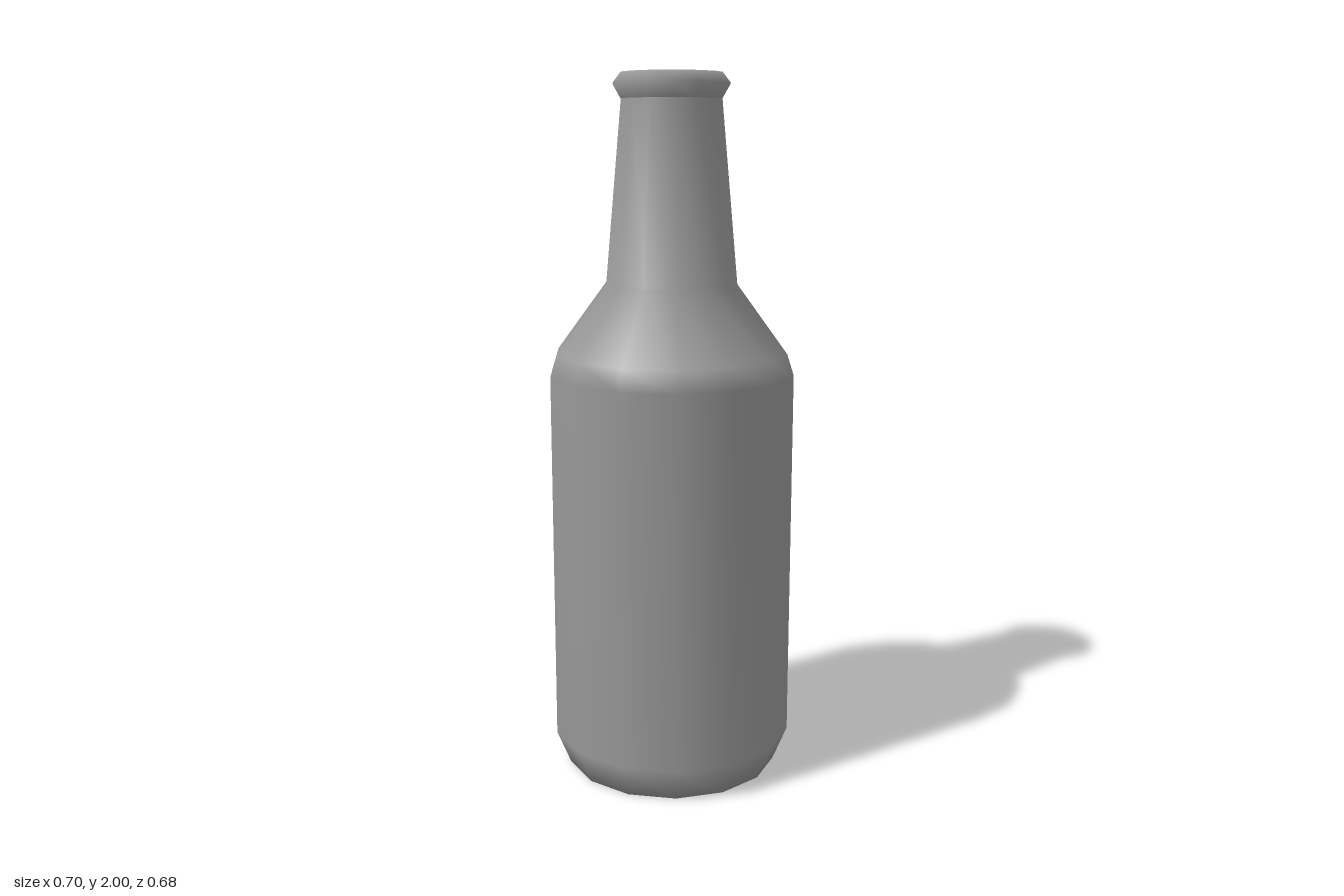
import * as THREE from 'three';
import { mergeVertices } from 'three/addons/utils/BufferGeometryUtils.js';

const SIDES = 14;

// Turns a [radius, height] profile into a 14-sided mesh with a corner on +x,
// welded so the smooth normals are weighted by face area
function turned(name, profile, material) {
  const points = profile.map(([r, y]) => new THREE.Vector2(r, y));
  const lathe = new THREE.LatheGeometry(points, SIDES, Math.PI / 2);
  lathe.deleteAttribute('normal');
  lathe.deleteAttribute('uv');
  const geometry = mergeVertices(lathe);
  geometry.computeVertexNormals();
  const mesh = new THREE.Mesh(geometry, material);
  mesh.name = name;
  return mesh;
}

export function createModel() {
  const group = new THREE.Group();
  group.name = 'bottle';
  const material = new THREE.MeshStandardMaterial({ color: 0x989898 });

  // Base, straight body, shoulder and tapering neck
  group.add(turned('body', [
    [0, 0], [0.31, 0], [0.351, 0.1], [0.351, 1.17], [0.332, 1.23], [0.188, 1.425], [0.142, 1.93],
  ], material));

  // Flared lip around the mouth
  group.add(turned('lip', [
    [0.142, 1.93], [0.165, 1.97], [0.142, 2], [0.108, 2],
  ], material));

  // Hollow inside the neck
  group.add(turned('mouth', [
    [0.108, 2], [0.108, 1.43], [0, 1.43],
  ], material));

  return group;
}
